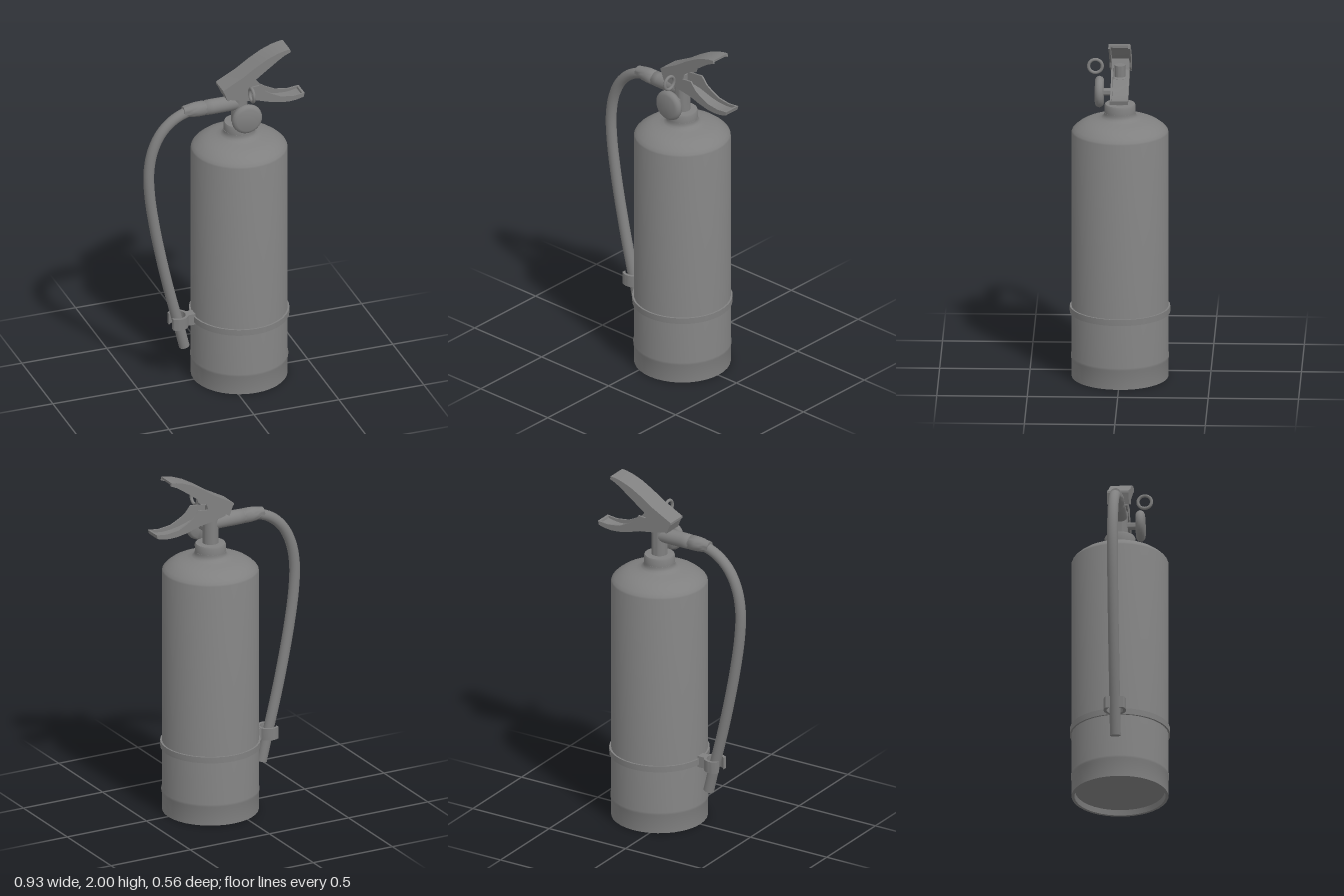
import * as THREE from 'three';
import { toCreasedNormals } from 'three/addons/utils/BufferGeometryUtils.js';

const AXIS = 0.096; // x of the cylinder's axis
const MID = -0.004; // z of the lever centre plane
const mat = new THREE.MeshStandardMaterial({ color: 0x808080 });
const matDouble = new THREE.MeshStandardMaterial({ color: 0x808080, side: THREE.DoubleSide });

const vecs = (pts) => pts.map(([x, y]) => new THREE.Vector2(x, y));

function add(parent, name, geometry, material = mat) {
  const mesh = new THREE.Mesh(geometry, material);
  mesh.name = name;
  parent.add(mesh);
  return mesh;
}

// Turned part around the y axis, profile listed from bottom to top
function turned(pts, sides = 32) {
  return toCreasedNormals(new THREE.LatheGeometry(vecs(pts), sides), 0.95);
}

// Flat outline in the xy plane, extruded from z0 to z1
function slab(shape, z0, z1) {
  const g = new THREE.ExtrudeGeometry(shape, { depth: z1 - z0, bevelEnabled: false, curveSegments: 20 });
  return toCreasedNormals(g.translate(0, 0, z0), 0.5);
}

// U-shaped lever: two side cheeks joined by a web along one edge and a plate at one end
function channelLever(name, web, otherEdge, endPlate, half, thick) {
  const group = new THREE.Group();
  group.name = name;
  const outline = new THREE.Shape(vecs([...web, ...otherEdge]));
  for (const side of [-1, 1]) {
    const z = MID + side * (half - 0.005);
    add(group, name + 'Cheek', slab(outline, z - 0.005, z + 0.005));
  }
  const offset = web.map(([x, y]) => [x, y + thick]).reverse();
  add(group, name + 'Web', slab(new THREE.Shape(vecs([...web, ...offset])), MID - half, MID + half));
  add(group, name + 'End', slab(new THREE.Shape(vecs(endPlate)), MID - half, MID + half));
  return group;
}

export function createModel() {
  const model = new THREE.Group();
  model.name = 'fireExtinguisher';

  // Cylinder with recessed bottom, base skirt and rounded shoulder
  const tank = add(model, 'tank', turned([
    [0, 0.03], [0.247, 0.03], [0.252, 0], [0.268, 0], [0.268, 0.1], [0.272, 0.112], [0.272, 0.125],
    [0.268, 0.14], [0.268, 1.415], [0.264, 1.424], [0.25, 1.439], [0.223, 1.46], [0.195, 1.474], [0.165, 1.484],
    [0.13, 1.491], [0.105, 1.498], [0.092, 1.506], [0.087, 1.52], [0.087, 1.53], [0, 1.53],
  ], 36));
  tank.position.x = AXIS;

  // Neck collar and valve stem
  const valve = add(model, 'valve', turned([
    [0, 1.52], [0.086, 1.52], [0.087, 1.565], [0.082, 1.576],
    [0.045, 1.578], [0.045, 1.73], [0.03, 1.735], [0.03, 1.8], [0, 1.8],
  ]));
  valve.position.x = AXIS;

  // Strap around the tank
  const strap = add(model, 'strap', turned([
    [0.262, 0.373], [0.278, 0.373], [0.278, 0.408], [0.262, 0.408],
  ], 36));
  strap.position.x = AXIS;

  // Open hose clip and its link to the strap
  const arc = new THREE.Shape();
  arc.absarc(0, 0, 0.062, -2.27, 2.27, false);
  arc.absarc(0, 0, 0.046, 2.62, -2.62, true);
  const clip = add(model, 'hoseClip', slab(arc, 0, 0.068).rotateX(-Math.PI / 2));
  clip.position.set(-0.268, 0.355, 0);
  const link = add(model, 'clipLink', new THREE.BoxGeometry(0.05, 0.066, 0.05));
  link.position.set(-0.193, 0.389, 0);

  // Horizontal outlet and hose ferrule, turned along -x
  const outlet = add(model, 'outlet', turned([
    [0, 0], [0.042, 0], [0.043, 0.165], [0.042, 0.199], [0.038, 0.202],
    [0.038, 0.206], [0.042, 0.209], [0.042, 0.25], [0.039, 0.28], [0.034, 0.305], [0.03, 0.33], [0, 0.33],
  ], 24));
  outlet.rotation.z = Math.PI / 2;
  outlet.position.set(AXIS, 1.695, 0);

  // Hose
  const path = new THREE.CatmullRomCurve3([
    [-0.13, 1.695], [-0.2, 1.69], [-0.285, 1.655], [-0.36, 1.585], [-0.412, 1.48], [-0.435, 1.35],
    [-0.43, 1.2], [-0.402, 1.0], [-0.364, 0.8], [-0.32, 0.6], [-0.268, 0.39], [-0.227, 0.22],
  ].map(([x, y]) => new THREE.Vector3(x, y, 0)));
  const hose = new THREE.Group();
  hose.name = 'hose';
  model.add(hose);
  add(hose, 'hoseTube', new THREE.TubeGeometry(path, 72, 0.03, 16, false));
  const cap = add(hose, 'hoseEnd', new THREE.CircleGeometry(0.03, 16), matDouble);
  cap.position.copy(path.getPoint(1));
  cap.quaternion.setFromUnitVectors(new THREE.Vector3(0, 0, 1), path.getTangent(1));

  // Upper squeeze lever, open underneath, closed at the back
  model.add(channelLever('upperLever',
    [[-0.018, 1.81], [0.1, 1.873], [0.175, 1.923], [0.246, 1.963], [0.305, 1.986], [0.345, 1.996], [0.375, 2.0]],
    [[0.38, 1.982], [0.345, 1.967], [0.31, 1.945], [0.22, 1.88], [0.155, 1.832], [0.145, 1.8], [0.06, 1.765], [0.01, 1.74]],
    [[-0.018, 1.81], [0.01, 1.74], [0.021, 1.745], [-0.007, 1.815]],
    0.06, -0.013));

  // Lower carrying handle, open on top, with a lip at the tip
  model.add(channelLever('lowerHandle',
    [[0.03, 1.74], [0.1, 1.722], [0.19, 1.708], [0.27, 1.683], [0.33, 1.671], [0.38, 1.668], [0.42, 1.672], [0.459, 1.682]],
    [[0.465, 1.705], [0.4, 1.698], [0.325, 1.708], [0.27, 1.735], [0.235, 1.757], [0.2, 1.8], [0.1, 1.79], [0.04, 1.76]],
    [[0.447, 1.679], [0.459, 1.682], [0.465, 1.705], [0.453, 1.704]],
    0.05, 0.012));

  // Pressure gauge on a short stem, facing forward
  const gauge = add(model, 'gauge', turned([
    [0, 0], [0.021, 0], [0.021, 0.09], [0.072, 0.09], [0.082, 0.098], [0.088, 0.112],
    [0.086, 0.123], [0.078, 0.133], [0.066, 0.138], [0, 0.14],
  ], 28));
  gauge.rotation.x = Math.PI / 2;
  gauge.position.set(0.1, 1.645, 0);

  // Safety pin ring
  const ring = add(model, 'pinRing', new THREE.TorusGeometry(0.038, 0.009, 10, 28));
  ring.rotation.y = Math.PI / 2;
  ring.position.set(0.122, 1.8, 0.135);

  return model;
}
